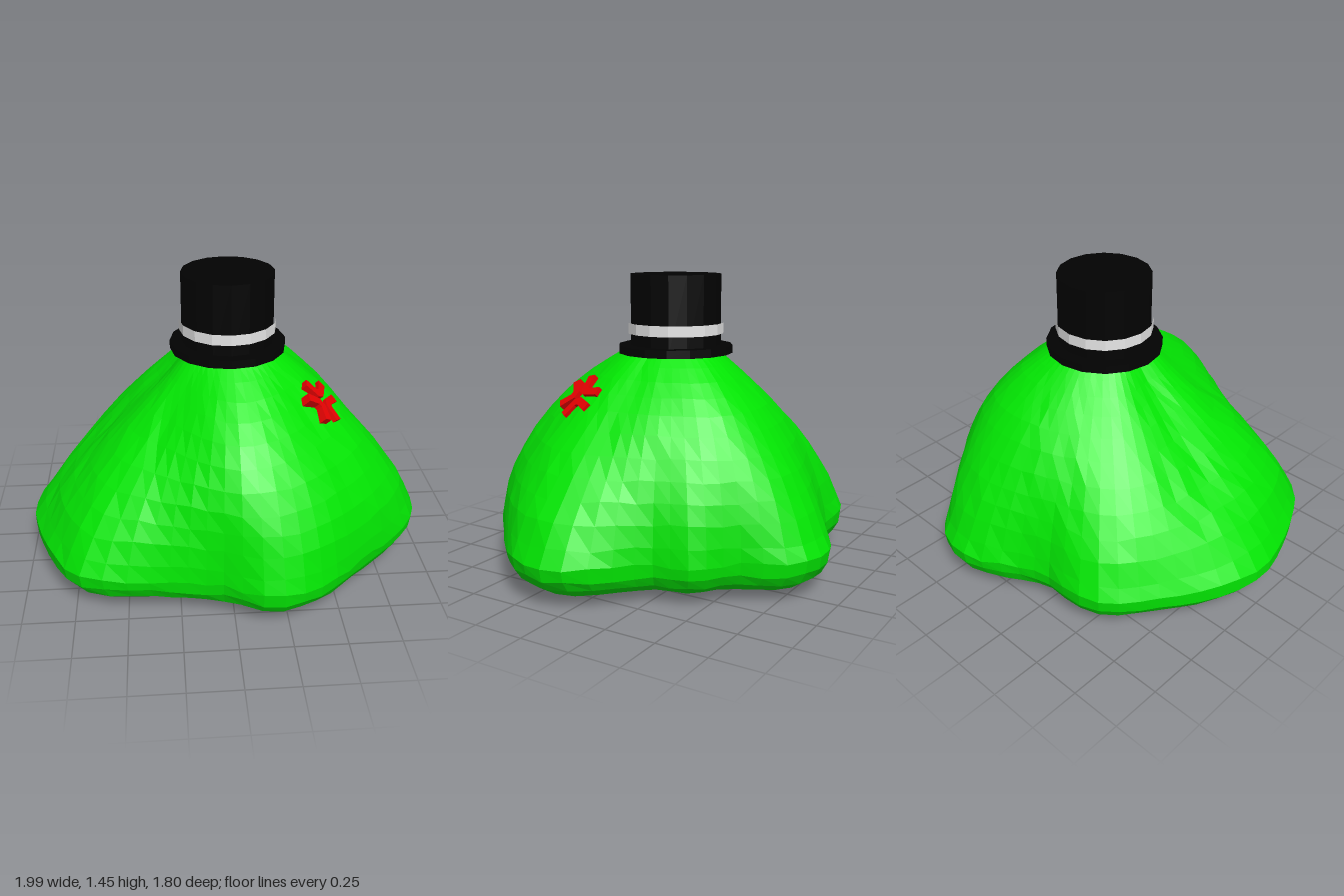
import * as THREE from 'three';

const mat = (name, color) => {
  const m = new THREE.MeshStandardMaterial({ color });
  m.name = name;
  return m;
};

const CX = 0.03; // axis of the body and hat

// Lobed outline of the body seen from above, as x, z pairs
const OUTLINE = [
  [-1, 0.05], [-0.95, -0.17], [-0.82, -0.4], [-0.62, -0.66], [-0.48, -0.72], [-0.28, -0.72],
  [-0.13, -0.78], [0, -0.86], [0.15, -0.905], [0.3, -0.88], [0.41, -0.79], [0.5, -0.61],
  [0.66, -0.47], [0.7, -0.3], [0.83, -0.17], [0.96, -0.03], [1, 0.1], [0.95, 0.3],
  [0.8, 0.48], [0.65, 0.62], [0.45, 0.8], [0.3, 0.88], [0.18, 0.9], [0.08, 0.87],
  [-0.05, 0.8], [-0.3, 0.75], [-0.6, 0.72], [-0.75, 0.66], [-0.87, 0.48], [-0.95, 0.28],
];

// Share of the outline radius kept at each level, for eight directions from +x towards +z
const LEVELS = [0.2, 0.4, 0.6, 0.8, 0.95, 1.06];
const SLOPES = [
  [1, 0.91, 0.77, 0.59, 0.42, 0.27],
  [1, 0.95, 0.82, 0.62, 0.45, 0.3],
  [1, 0.96, 0.9, 0.76, 0.54, 0.32],
  [1, 0.91, 0.75, 0.52, 0.36, 0.25],
  [0.99, 0.84, 0.65, 0.45, 0.295, 0.21],
  [1, 0.92, 0.78, 0.59, 0.41, 0.27],
  [1, 0.91, 0.8, 0.63, 0.45, 0.3],
  [1, 0.97, 0.88, 0.73, 0.54, 0.34],
].map((row) => new THREE.SplineCurve(row.map((f, i) => new THREE.Vector2(f, LEVELS[i]))));

// Rounded underside: height, share of the outline radius
const UNDERSIDE = [
  [0, 0], [0.004, 0.4], [0.014, 0.65], [0.028, 0.79], [0.055, 0.9], [0.09, 0.955], [0.14, 0.99],
];

function bodyGeometry() {
  const N = 60, RINGS = 11;
  let seed = 7;
  const rand = () => (seed = (seed * 16807) % 2147483647) / 2147483647 - 0.5;

  // Outline radius by angle, plus a softened copy for the upper body
  const curve = new THREE.CatmullRomCurve3(
    OUTLINE.map(([x, z]) => new THREE.Vector3(x, 0, z)), true);
  const samples = curve.getPoints(600).map((p) => ({
    a: Math.atan2(p.z, p.x - CX), r: Math.hypot(p.x - CX, p.z),
  }));
  const radius = Array.from({ length: N }, (_, i) => {
    const a = (i / N) * Math.PI * 2;
    const off = (s) => Math.abs(Math.atan2(Math.sin(s.a - a), Math.cos(s.a - a)));
    return samples.reduce((best, s) => (off(s) < off(best) ? s : best)).r;
  });
  const soft = radius.map((_, i) => {
    let sum = 0;
    for (let k = -4; k <= 4; k++) sum += radius[(i + k + N) % N];
    return sum / 9;
  });

  // Rings from the underside to the crown
  const pos = [], index = [];
  const addRing = (fn, jitter) => {
    for (let i = 0; i < N; i++) {
      const [r, y] = fn(i);
      const a = (i / N) * Math.PI * 2;
      pos.push(CX + r * Math.cos(a), y + rand() * jitter, r * Math.sin(a));
    }
  };
  UNDERSIDE.forEach(([y, f]) => addRing((i) => [radius[i] * f, y], y * 0.12));
  for (let k = 0; k <= RINGS; k++) {
    const t = k / RINGS;
    addRing((i) => {
      const d = (i / N) * 8, j = Math.floor(d);
      const w = THREE.MathUtils.lerp(d - j, THREE.MathUtils.smoothstep(d - j, 0, 1), 0.5);
      const p = SLOPES[j].getPoint(t).lerp(SLOPES[(j + 1) % 8].getPoint(t), w);
      return [p.x * THREE.MathUtils.lerp(radius[i], soft[i], Math.min(1, t * 1.8)), p.y];
    }, 0.02 * (1 - t));
  }
  addRing(() => [0, 1.08], 0);

  const rows = pos.length / 3 / N;
  for (let k = 0; k < rows - 1; k++) {
    for (let i = 0; i < N; i++) {
      const a = k * N + i, b = k * N + ((i + 1) % N), c = a + N, d = b + N;
      if (k < rows - 2) index.push(a, c, d);
      else index.push(a, c, b);
      if (k > 0 && k < rows - 2) index.push(a, d, b);
    }
  }
  const g = new THREE.BufferGeometry();
  g.setAttribute('position', new THREE.Float32BufferAttribute(pos, 3));
  g.setIndex(index);
  const flat = g.toNonIndexed();
  flat.computeVertexNormals();
  return flat;
}

export function createModel() {
  const model = new THREE.Group();
  const green = mat('slime green', 0x02e602);
  const black = mat('hat black', 0x020202);
  const white = mat('band grey white', 0xe8e8e8);
  const red = mat('mark red', 0xe60202);

  const body = new THREE.Mesh(bodyGeometry(), green);
  body.name = 'body';
  model.add(body);

  // Top hat
  const hat = new THREE.Group();
  hat.name = 'hat';
  hat.position.set(CX - 0.005, 0, -0.007);
  const disc = (name, r, y0, y1, material, open = false) => {
    const g = new THREE.CylinderGeometry(r, r, y1 - y0, 16, 1, open).toNonIndexed();
    g.computeVertexNormals();
    const m = new THREE.Mesh(g, material);
    m.name = name;
    m.position.y = (y0 + y1) / 2;
    hat.add(m);
  };
  disc('hatBrim', 0.287, 1.06, 1.1, black);
  disc('hatCrown', 0.228, 1.07, 1.45, black);
  disc('hatBand', 0.24, 1.157, 1.21, white, true);
  model.add(hat);

  // Anger mark: three bent strips around a centre, lying on the slope
  const strip = new THREE.Shape([
    [0.02, -0.02], [0.08, -0.086], [0.114, -0.058], [0.062, -0.008],
    [0.062, 0.008], [0.114, 0.058], [0.08, 0.086], [0.02, 0.02],
  ].map(([x, y]) => new THREE.Vector2(x, y)));
  const stripGeo = new THREE.ExtrudeGeometry(strip, { depth: 0.05, bevelEnabled: false });
  stripGeo.translate(0, 0, -0.025);
  const mark = new THREE.Group();
  mark.name = 'angerMark';
  mark.position.set(0.45, 0.862, 0.265);
  mark.lookAt(mark.position.clone().add(new THREE.Vector3(0.66, 0.68, 0.25)));
  for (let i = 0; i < 3; i++) {
    const m = new THREE.Mesh(stripGeo, red);
    m.name = 'angerMarkStrip';
    m.rotation.z = THREE.MathUtils.degToRad(59 + i * 120);
    mark.add(m);
  }
  model.add(mark);
  return model;
}
